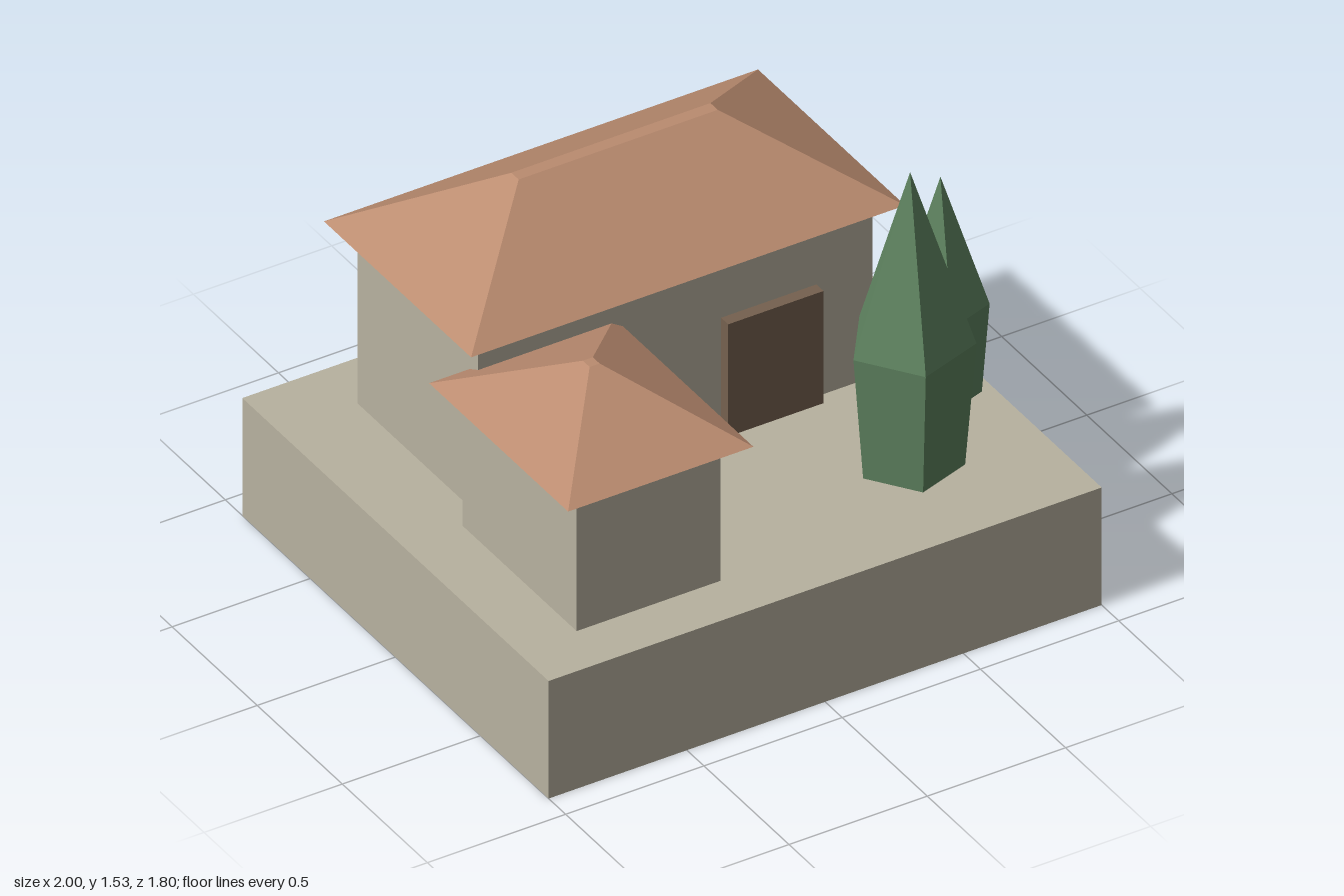
import * as THREE from 'three';

const flat = (name, color) => {
  const m = new THREE.MeshStandardMaterial({ color, flatShading: true });
  m.name = name;
  return m;
};

// Box given by its min and max on each axis
function block(name, [x0, x1], [y0, y1], [z0, z1], material) {
  const mesh = new THREE.Mesh(new THREE.BoxGeometry(x1 - x0, y1 - y0, z1 - z0), material);
  mesh.position.set((x0 + x1) / 2, (y0 + y1) / 2, (z0 + z1) / 2);
  mesh.name = name;
  return mesh;
}

// Hipped roof: a block whose top face is shrunk to a narrow flat ridge
function hipRoof(name, xs, ys, zs, ridgeX, ridgeZ, material) {
  const mesh = block(name, xs, ys, zs, material);
  const p = mesh.geometry.attributes.position;
  for (let i = 0; i < p.count; i++) {
    if (p.getY(i) > 0) {
      p.setX(i, Math.sign(p.getX(i)) * ridgeX / 2);
      p.setZ(i, Math.sign(p.getZ(i)) * ridgeZ / 2);
    }
  }
  mesh.geometry.computeVertexNormals();
  return mesh;
}

// Five-sided cypress: tapered foot, widest part, long pointed top
function cypress(name, x, z, ground, footR, wideR, wideY, topY, material) {
  const profile = [[0, 0], [footR, 0], [wideR, wideY - ground], [0, topY - ground]]
    .map(([r, y]) => new THREE.Vector2(r, y));
  const mesh = new THREE.Mesh(new THREE.LatheGeometry(profile, 5, -Math.PI / 2), material);
  mesh.position.set(x, ground, z);
  mesh.name = name;
  return mesh;
}

export function createModel() {
  const stone = flat('stone', 0xb8b2a0);
  const tile = flat('roofTile', 0xbb8c70);
  const wood = flat('doorWood', 0x75614f);
  const leaf = flat('foliage', 0x5f8460);
  const ground = 0.44;

  const model = new THREE.Group();
  model.name = 'villa';
  model.add(
    block('terrace', [-1, 1], [0, ground], [-0.9, 0.9], stone),
    // Main house
    block('mainWalls', [-0.713, 0.713], [ground, 1.1], [-0.69, 0.02], stone),
    hipRoof('mainRoof', [-0.785, 0.785], [1.1, 1.37], [-0.77, 0.095], 0.72, 0.043, tile),
    block('door', [0.165, 0.51], [ground, 0.86], [0, 0.062], wood),
    // Small front wing
    block('wingWalls', [-0.785, -0.265], [ground, 0.957], [0.045, 0.715], stone),
    hipRoof('wingRoof', [-0.86, -0.19], [0.957, 1.155], [-0.03, 0.787], 0.036, 0.04, tile),
    // Garden trees
    cypress('tallCypress', 0.57, 0.473, ground, 0.17, 0.205, 0.895, 1.525, leaf),
    cypress('shortCypress', 0.855, 0.188, ground, 0.128, 0.152, 0.77, 1.237, leaf),
  );
  return model;
}
